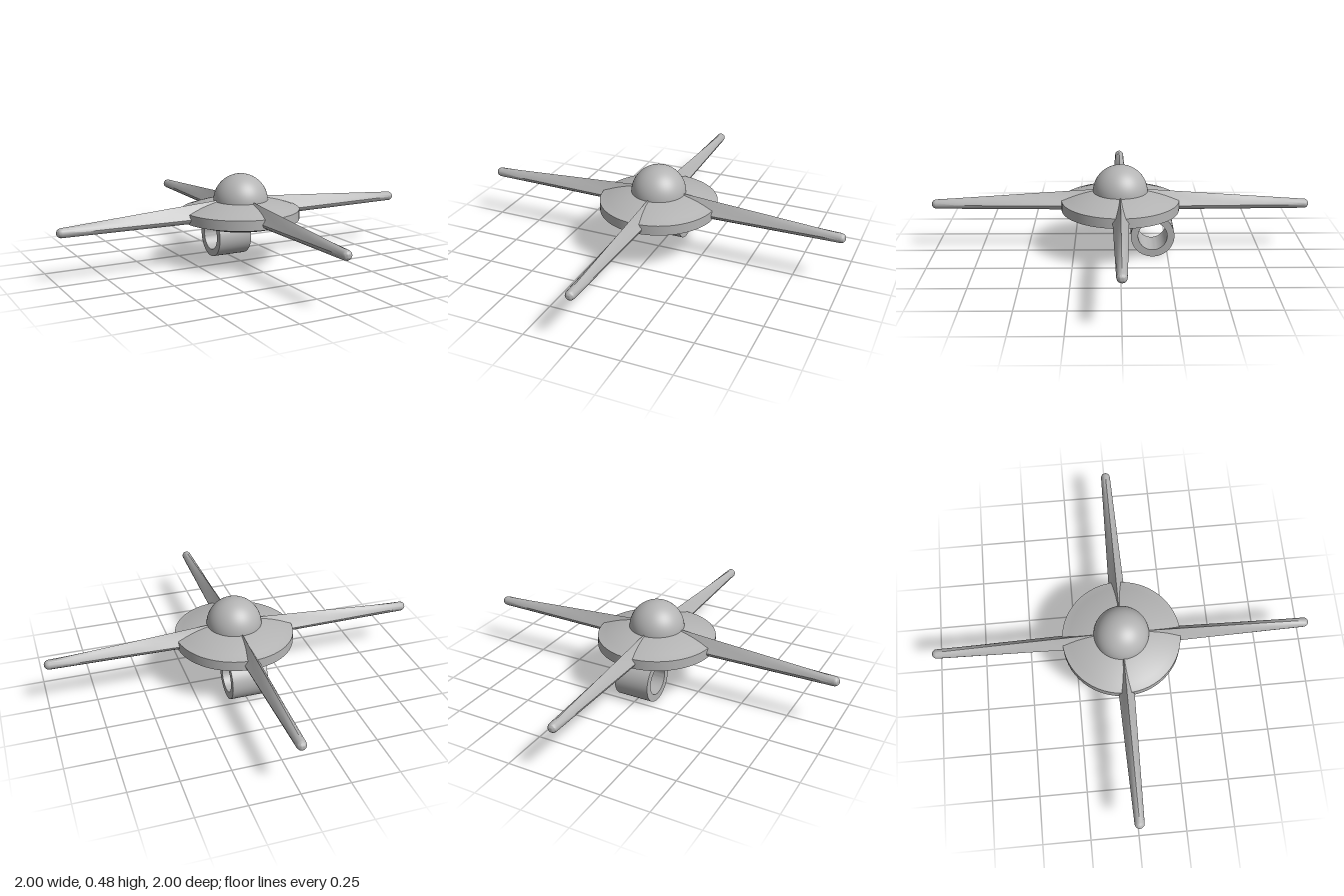
import * as THREE from 'three';
import { toCreasedNormals } from 'three/addons/utils/BufferGeometryUtils.js';

const V = (x, y) => new THREE.Vector2(x, y);

// Points of a shallow cap: radius r, edge height y0, centre height y1
function capPoints(r, y0, y1, n = 10) {
  return Array.from({ length: n + 1 }, (_, i) => {
    const x = r * (1 - i / n);
    return V(x, y1 + (y0 - y1) * (x / r) ** 2);
  });
}

// Arm along +x: a ridged kite section at the hub blending to a round tip
function armGeometry() {
  const half = [[0, -0.03], [0.022, -0.026], [0.04, -0.014], [0.046, 0], [0.03, 0.022], [0.012, 0.055], [0, 0.083]];
  const root = [...half, ...half.slice(1, 6).reverse().map(([z, y]) => [-z, y])];
  const n = root.length, x0 = 0.1, x1 = 0.975, r = 0.025;
  const rings = [];
  for (let i = 0; i <= 8; i++) rings.push([x0 + (x1 - x0) * i / 8, i / 8, 1]);
  for (let i = 1; i <= 6; i++) {
    const a = i / 6 * Math.PI / 2;
    rings.push([x1 + r * Math.sin(a), 1, Math.cos(a)]);
  }
  const pos = [], index = [];
  rings.forEach(([x, t, s], i) => {
    root.forEach(([z, y], j) => {
      const a = -Math.PI / 2 + j / n * Math.PI * 2;
      pos.push(x, s * (y + (r * Math.sin(a) - y) * t), s * (z + (r * Math.cos(a) - z) * t));
      if (i === 0) return;
      const k = (j + 1) % n, p = (i - 1) * n, q = i * n;
      index.push(p + j, q + j, p + k, p + k, q + j, q + k);
    });
  });
  const g = new THREE.BufferGeometry();
  g.setAttribute('position', new THREE.Float32BufferAttribute(pos, 3));
  g.setIndex(index);
  return toCreasedNormals(g, 0.6);
}

export function createModel() {
  const group = new THREE.Group();
  const grey = new THREE.MeshStandardMaterial({ color: 0xb4b4b4 });
  grey.name = 'grey';
  const add = (name, geometry) => {
    const mesh = new THREE.Mesh(geometry, grey);
    mesh.name = name;
    group.add(mesh);
    return mesh;
  };

  // Lens-shaped hub with an upright rim and a narrow lip
  const hub = [
    ...capPoints(0.305, 0.237, 0.18).reverse(),
    V(0.312, 0.237), V(0.312, 0.29), V(0.3, 0.293),
    ...capPoints(0.3, 0.293, 0.35).slice(1),
  ];
  add('hub', toCreasedNormals(new THREE.LatheGeometry(hub, 64), 0.5));

  // Dome on top
  add('dome', new THREE.SphereGeometry(0.145, 48, 32)).position.y = 0.331;

  // Four arms
  const arm = armGeometry();
  for (let i = 0; i < 4; i++) {
    const mesh = add('arm' + (i + 1), arm);
    mesh.position.y = 0.265;
    mesh.rotation.y = i * Math.PI / 2;
  }

  // Open tube under the rear of the hub
  const tube = [V(0.077, -0.095), V(0.115, -0.095), V(0.115, 0.095), V(0.077, 0.095), V(0.077, -0.095)];
  const ring = add('hangingTube', toCreasedNormals(new THREE.LatheGeometry(tube, 48), 0.5));
  ring.rotation.z = Math.PI / 2;
  ring.position.set(0, 0.115, -0.17);

  return group;
}
